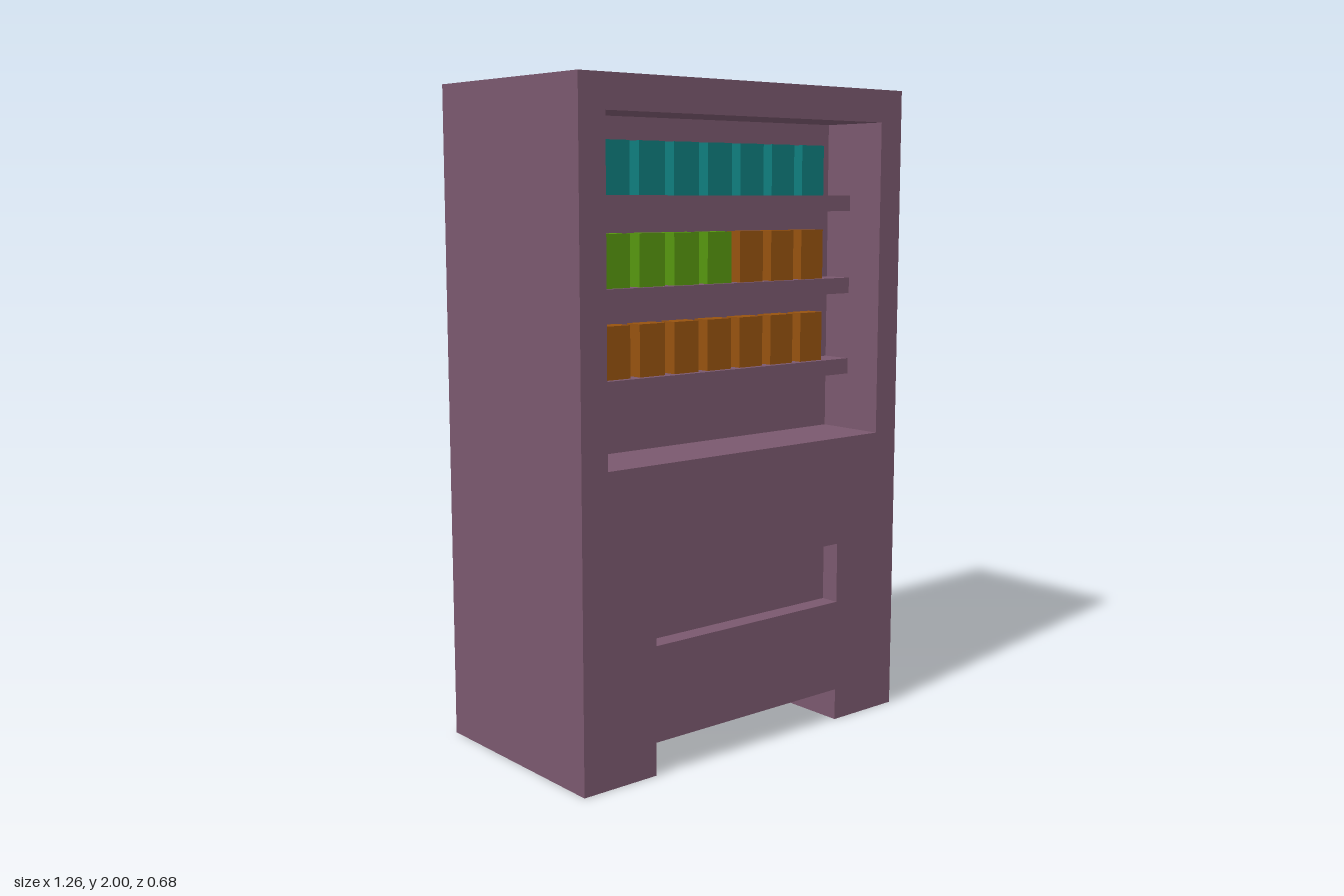
import * as THREE from 'three';

const W = 0.63, H = 2, D = 0.34; // half width, height, half depth
const LEG = 0.37, GAP = 0.1;     // half width and height of the gap between the feet

export function createModel() {
  const model = new THREE.Group();
  const sheet = new THREE.MeshStandardMaterial({ color: 0x7a586e, side: THREE.DoubleSide, flatShading: true });
  const colored = (color) => new THREE.MeshStandardMaterial({ color });
  const teal = colored(0x0f7d7d), green = colored(0x56960f), orange = colored(0x96520f);
  const shelfMaterial = colored(0x7a586e);

  const add = (name, geometry, material, x, y, z, parent = model) => {
    const mesh = new THREE.Mesh(geometry, material);
    mesh.name = name;
    mesh.position.set(x, y, z);
    parent.add(mesh);
    return mesh;
  };
  // Flat panel, turned about x and then y
  const panel = (name, w, h, x, y, z, rx = 0, ry = 0, parent = model) => {
    const geometry = new THREE.PlaneGeometry(w, h).rotateX(rx).rotateY(ry);
    return add(name, geometry, sheet, x, y, z, parent);
  };

  // Outline shared by front and back, with the gap between the feet
  const outline = () => new THREE.Shape([
    [-W, 0], [-LEG, 0], [-LEG, GAP], [LEG, GAP], [LEG, 0], [W, 0], [W, H], [-W, H],
  ].map(([x, y]) => new THREE.Vector2(x, y)));

  // Recess walls: half width, bottom, top and depth of each opening
  const openings = [
    { name: 'displayRecess', hw: 0.54, y0: 0.92, y1: 1.9, depth: 0.23 },
    { name: 'dispenserTray', hw: 0.37, y0: 0.39, y1: 0.58, depth: 0.06 },
  ];
  const front = outline();
  for (const { name, hw, y0, y1, depth } of openings) {
    front.holes.push(new THREE.Path([
      [-hw, y0], [-hw, y1], [hw, y1], [hw, y0],
    ].map(([x, y]) => new THREE.Vector2(x, y))));

    const recess = new THREE.Group();
    recess.name = name;
    model.add(recess);
    const mid = (y0 + y1) / 2, z = D - depth / 2;
    panel(name + 'Back', hw * 2, y1 - y0, 0, mid, D - depth, 0, 0, recess);
    panel(name + 'Floor', hw * 2, depth, 0, y0, z, -Math.PI / 2, 0, recess);
    panel(name + 'Ceiling', hw * 2, depth, 0, y1, z, Math.PI / 2, 0, recess);
    for (const s of [-1, 1])
      panel(name + 'Side', depth, y1 - y0, s * hw, mid, z, 0, -s * Math.PI / 2, recess);
  }

  // Cabinet shell, open underneath
  add('frontPanel', new THREE.ShapeGeometry(front), sheet, 0, 0, D);
  add('backPanel', new THREE.ShapeGeometry(outline()).rotateY(Math.PI), sheet, 0, 0, -D);
  panel('topPanel', W * 2, D * 2, 0, H, 0, -Math.PI / 2);
  for (const s of [-1, 1]) {
    panel('sidePanel', D * 2, H, s * W, H / 2, 0, 0, s * Math.PI / 2);
    panel('footInnerWall', D * 2, GAP, s * LEG, GAP / 2, 0, 0, -s * Math.PI / 2);
  }

  // Shelves, each with a row of seven products
  const shelfGeometry = new THREE.BoxGeometry(1.08, 0.05, 0.1);
  const productGeometry = new THREE.BoxGeometry(0.095, 0.155, 0.06);
  const rows = [
    { top: 1.675, pick: () => teal },
    { top: 1.412, pick: (i) => (i < 4 ? green : orange) },
    { top: 1.15, pick: () => orange },
  ];
  for (const { top, pick } of rows) {
    add('shelf', shelfGeometry, shelfMaterial, 0, top - 0.025, 0.16);
    for (let i = 0; i < 7; i++)
      add('product', productGeometry, pick(i), (i - 3) * 0.13, top + 0.0775, 0.16);
  }
  return model;
}
